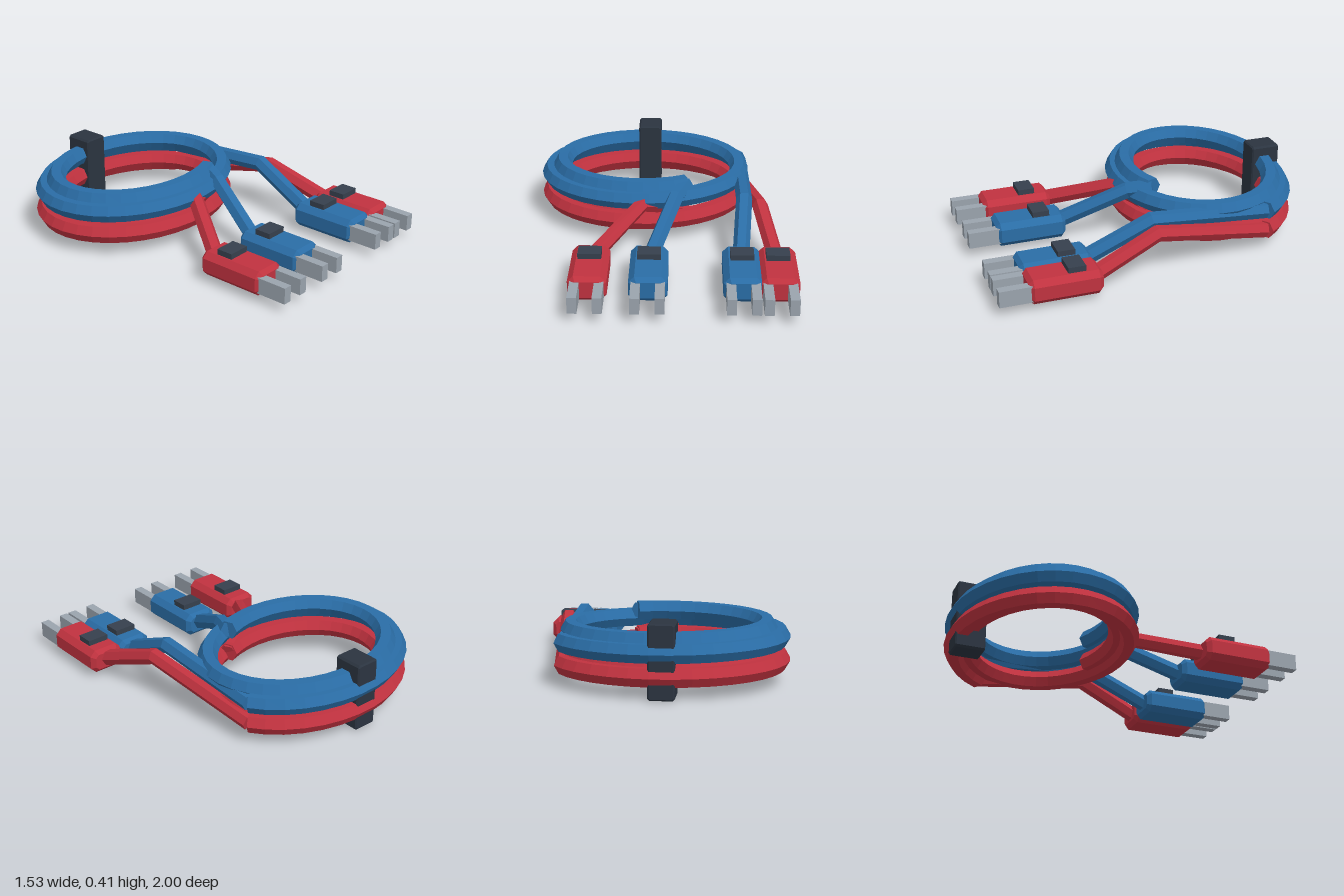
import * as THREE from 'three';

const material = (color) => new THREE.MeshStandardMaterial({ color, flatShading: true });

// Hexagonal cable swept along points, kept level, with closed ends
function cableGeometry(points, radius, sides = 6) {
  const up = new THREE.Vector3(0, 1, 0);
  const pos = [], index = [];
  const last = points.length - 1;
  points.forEach((p, i) => {
    const before = p.clone().sub(points[Math.max(i - 1, 0)]).normalize();
    const after = points[Math.min(i + 1, last)].clone().sub(p).normalize();
    const t = before.add(after).normalize();
    const side = t.clone().cross(up).normalize();
    const normal = side.clone().cross(t);
    for (let j = 0; j < sides; j++) {
      const a = (j / sides) * Math.PI * 2;
      const v = p.clone()
        .addScaledVector(side, Math.cos(a) * radius)
        .addScaledVector(normal, Math.sin(a) * radius);
      pos.push(v.x, v.y, v.z);
    }
  });
  for (let i = 0; i < last; i++) {
    for (let j = 0; j < sides; j++) {
      const a = i * sides + j, c = i * sides + (j + 1) % sides;
      index.push(a, a + sides, c, a + sides, c + sides, c);
    }
  }
  const e = last * sides;
  for (let j = 1; j < sides - 1; j++) index.push(0, j, j + 1, e, e + j + 1, e + j);
  const g = new THREE.BufferGeometry();
  g.setAttribute('position', new THREE.Float32BufferAttribute(pos, 3));
  g.setIndex(index);
  g.computeVertexNormals();
  return g;
}

// Box with every edge cut by a chamfer, centred on the origin
function chamferBox(w, h, d, c) {
  const x = w / 2 - c, y = h / 2 - c, k = c * 0.8;
  const s = new THREE.Shape([
    [x - k, -y], [x, -y + k], [x, y - k], [x - k, y],
    [-x + k, y], [-x, y - k], [-x, -y + k], [-x + k, -y],
  ].map(([a, b]) => new THREE.Vector2(a, b)));
  const g = new THREE.ExtrudeGeometry(s, {
    depth: d - 2 * c, bevelEnabled: true, bevelSegments: 1, bevelSize: c, bevelThickness: c,
  });
  return g.translate(0, 0, -(d - 2 * c) / 2);
}

// Elliptical coil of 1.75 turns, winding inward and upward
function coilPoints(yStart, yEnd, segments = 64) {
  const points = [];
  for (let i = 0; i <= segments; i++) {
    const f = i / segments;
    const a = THREE.MathUtils.degToRad(25 + 633 * f);
    const r = 0.64 - 0.129 * f;
    points.push(new THREE.Vector3(
      -0.1 + r * Math.cos(a), yStart + (yEnd - yStart) * f, -0.447 - 0.8 * r * Math.sin(a)));
  }
  return points;
}

export function createModel() {
  const group = new THREE.Group();
  const red = material(0xc0323f), blue = material(0x2a6da6);
  const dark = material(0x36404d), tieDark = material(0x2b3440), metal = material(0x9aa3ad);

  const add = (parent, name, geometry, mat, x = 0, y = 0, z = 0) => {
    const mesh = new THREE.Mesh(geometry, mat);
    mesh.name = name;
    mesh.position.set(x, y, z);
    parent.add(mesh);
  };

  // Plug with two prongs and a raised latch
  const addPlug = (name, x, mat) => {
    const plug = new THREE.Group();
    plug.name = name;
    plug.position.set(x, 0.11, 0.625);
    add(plug, 'plugBody', chamferBox(0.215, 0.145, 0.415, 0.024), mat);
    add(plug, 'latch', new THREE.BoxGeometry(0.132, 0.04, 0.1), dark, 0, 0.085, -0.065);
    for (const s of [-1, 1]) {
      add(plug, 'prong', new THREE.BoxGeometry(0.052, 0.095, 0.19), metal, s * 0.067, -0.002, 0.28);
    }
    group.add(plug);
  };

  // Each cable: coil, two leads bending down to the plugs, and the plugs
  const cables = [
    { name: 'red', mat: red, y: [0.12, 0.185], mids: [[0.58, 0.26, 0.05], [-0.12, 0.26, 0.05]], plugs: [0.655, -0.395] },
    { name: 'blue', mat: blue, y: [0.245, 0.333], mids: [[0.485, 0.3, 0.05], [0.08, 0.31, 0.05]], plugs: [0.455, -0.063] },
  ];
  for (const { name, mat, y, mids, plugs } of cables) {
    const coil = coilPoints(...y);
    add(group, name + 'Coil', cableGeometry(coil, 0.058), mat);
    [coil[0], coil[coil.length - 1]].forEach((start, i) => {
      const label = name + (i ? 'Inner' : 'Outer');
      const path = [start, new THREE.Vector3(...mids[i]), new THREE.Vector3(plugs[i], 0.11, 0.45)];
      add(group, label + 'Lead', cableGeometry(path, 0.048), mat);
      addPlug(label + 'Plug', plugs[i], mat);
    });
  }

  // Tie block holding the coils together at the back
  add(group, 'cableTie', chamferBox(0.145, 0.41, 0.175, 0.008), tieDark, -0.098, 0.21, -0.897);

  return group;
}
